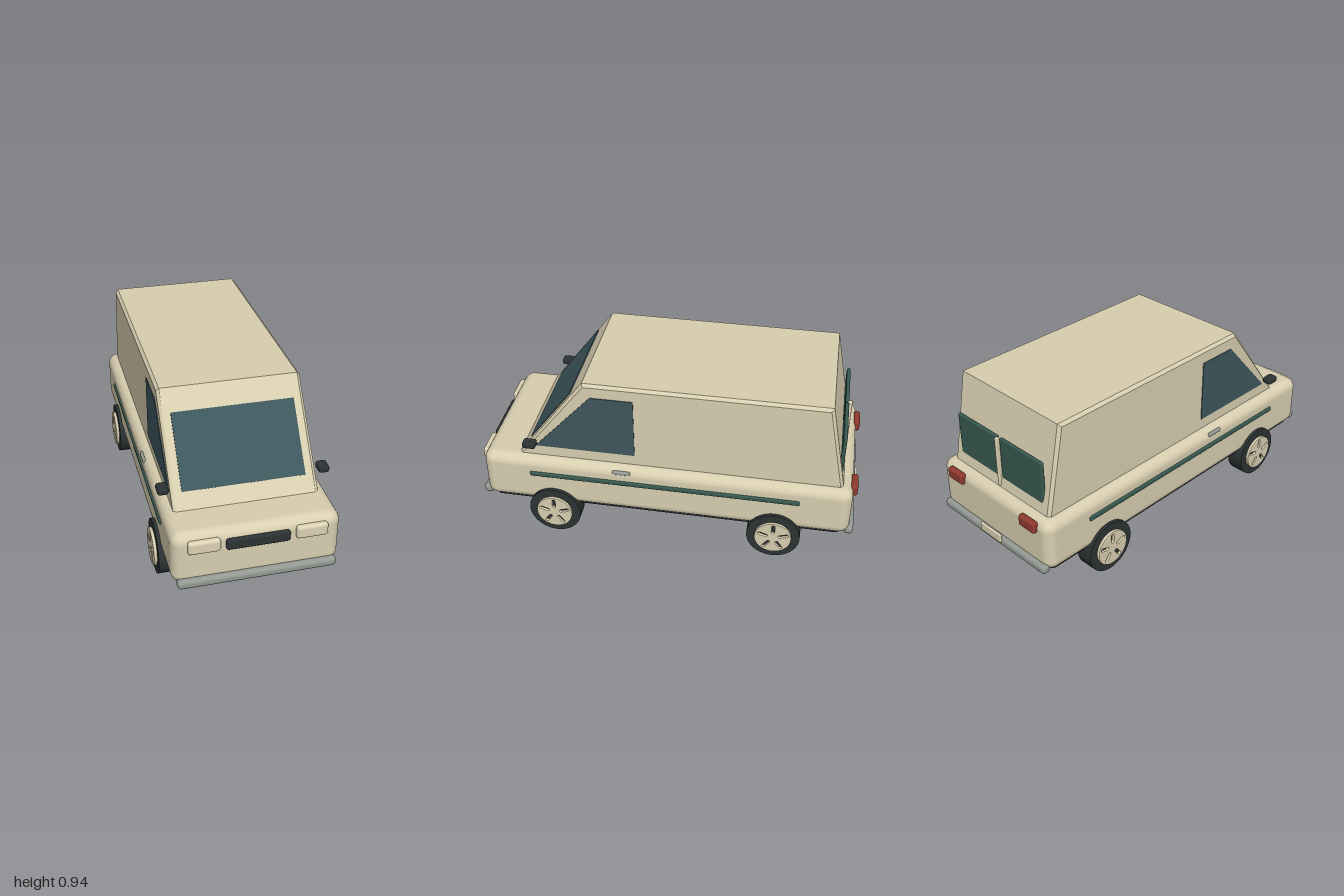
import * as THREE from 'three';
import { RoundedBoxGeometry } from 'three/addons/geometries/RoundedBoxGeometry.js';

const paint = (name, color) => {
  const m = new THREE.MeshStandardMaterial({ color });
  m.name = name;
  return m;
};

export function createModel() {
  const van = new THREE.Group();
  van.name = 'van';

  const cream = paint('cream paint', 0xd8ceb0);
  const lampCream = paint('lamp cream', 0xdcd2b4);
  const dark = paint('dark rubber', 0x2c3233);
  const glass = paint('blue glass', 0x3e575d);
  const green = paint('green trim', 0x37594f);
  const metal = paint('grey metal', 0x939892);
  const red = paint('red lamp', 0x903a2e);

  const add = (name, geometry, material, x = 0, y = 0, z = 0, parent = van) => {
    const mesh = new THREE.Mesh(geometry, material);
    mesh.name = name;
    mesh.position.set(x, y, z);
    parent.add(mesh);
    return mesh;
  };
  const block = (name, material, [w, h, d], r, x, y, z) =>
    add(name, new RoundedBoxGeometry(w, h, d, 4, r), material, x, y, z);

  // Side profile given as [z, y] points, extruded across x and centred
  const sideExtrude = (points, width, bevel) => {
    const shape = new THREE.Shape(points.map(([z, y]) => new THREE.Vector2(z, y)));
    const g = new THREE.ExtrudeGeometry(shape, {
      depth: width - 2 * bevel, bevelEnabled: bevel > 0, bevelSegments: 1,
      bevelSize: bevel, bevelThickness: bevel, bevelOffset: -bevel,
    });
    g.translate(0, 0, bevel - width / 2);
    return g.rotateY(-Math.PI / 2);
  };

  // Lower body and underside
  block('lowerBody', cream, [0.82, 0.285, 1.94], 0.055, 0, 0.3225, 0.002);
  block('underbody', dark, [0.77, 0.12, 1.88], 0.04, 0, 0.215, 0.004);

  // Cabin with sloped windscreen and leaning back
  add('cabin', sideExtrude(
    [[0.809, 0.42], [0.418, 0.937], [-0.823, 0.937], [-0.923, 0.42]], 0.72, 0.015), cream);

  // Windscreen lies on the front slope
  const screen = add('windscreen', new THREE.BoxGeometry(0.614, 0.38, 0.008), glass, 0, 0.6885, 0.607);
  screen.rotation.x = -Math.atan2(0.391, 0.517);

  // Rear window divider, grille, bumpers and number plate
  block('rearWindowDivider', cream, [0.016, 0.275, 0.024], 0.006, 0, 0.61, -0.909);
  block('grille', dark, [0.31, 0.06, 0.03], 0.014, 0, 0.392, 0.975);
  block('frontBumper', metal, [0.78, 0.05, 0.05], 0.02, 0, 0.2, 0.973);
  block('rearBumper', metal, [0.78, 0.05, 0.05], 0.02, 0, 0.2, -0.967);
  block('rearPlate', cream, [0.155, 0.05, 0.014], 0.006, 0, 0.225, -0.993);

  // Parts mirrored left and right
  for (const s of [1, -1]) {
    const side = s > 0 ? 'left' : 'right';
    add(side + 'SideWindow', sideExtrude(
      [[0.684, 0.525], [0.378, 0.863], [0.158, 0.863], [0.158, 0.525]], 0.008, 0), glass, s * 0.36);
    block(side + 'RearWindow', green, [0.304, 0.275, 0.02], 0.009, s * 0.16, 0.608, -0.894);
    block(side + 'Headlight', lampCream, [0.155, 0.069, 0.035], 0.015, s * 0.26, 0.403, 0.977);
    block(side + 'TailLight', red, [0.113, 0.062, 0.035], 0.013, s * 0.275, 0.422, -0.972);
    block(side + 'Mirror', dark, [0.055, 0.038, 0.07], 0.014, s * 0.398, 0.56, 0.705);
    block(side + 'DoorHandle', metal, [0.018, 0.022, 0.095], 0.008, s * 0.405, 0.434, 0.222);
    block(side + 'SideStripe', green, [0.022, 0.027, 1.42], 0.008, s * 0.408, 0.37, 0.005);
  }

  // Hub disc with five radial slots
  const hubShape = new THREE.Shape().absarc(0, 0, 0.097, 0, Math.PI * 2);
  for (let i = 0; i < 5; i++) {
    const a = Math.PI / 2 + (i * Math.PI * 2) / 5;
    const w = 0.008, r0 = 0.038, r1 = 0.076;
    const slot = new THREE.Path();
    slot.absarc(r1 * Math.cos(a), r1 * Math.sin(a), w, a - Math.PI / 2, a + Math.PI / 2);
    slot.absarc(r0 * Math.cos(a), r0 * Math.sin(a), w, a + Math.PI / 2, a + Math.PI * 1.5);
    hubShape.holes.push(slot);
  }
  const hubGeometry = new THREE.ExtrudeGeometry(hubShape, {
    depth: 0.008, bevelSize: 0.004, bevelThickness: 0.005, bevelOffset: -0.004,
    bevelSegments: 2, curveSegments: 24,
  });
  const tyreGeometry = new THREE.CylinderGeometry(0.14, 0.14, 0.093, 40).rotateZ(Math.PI / 2);

  // Four wheels
  for (const [end, z] of [['front', 0.592], ['rear', -0.584]]) {
    for (const s of [1, -1]) {
      const wheel = new THREE.Group();
      wheel.name = end + (s > 0 ? 'Left' : 'Right') + 'Wheel';
      wheel.position.set(s * 0.3815, 0.14, z);
      add('tyre', tyreGeometry, dark, 0, 0, 0, wheel);
      add('hub', hubGeometry, cream, s * 0.0505, 0, 0, wheel).rotation.y = (s * Math.PI) / 2;
      van.add(wheel);
    }
  }
  return van;
}
